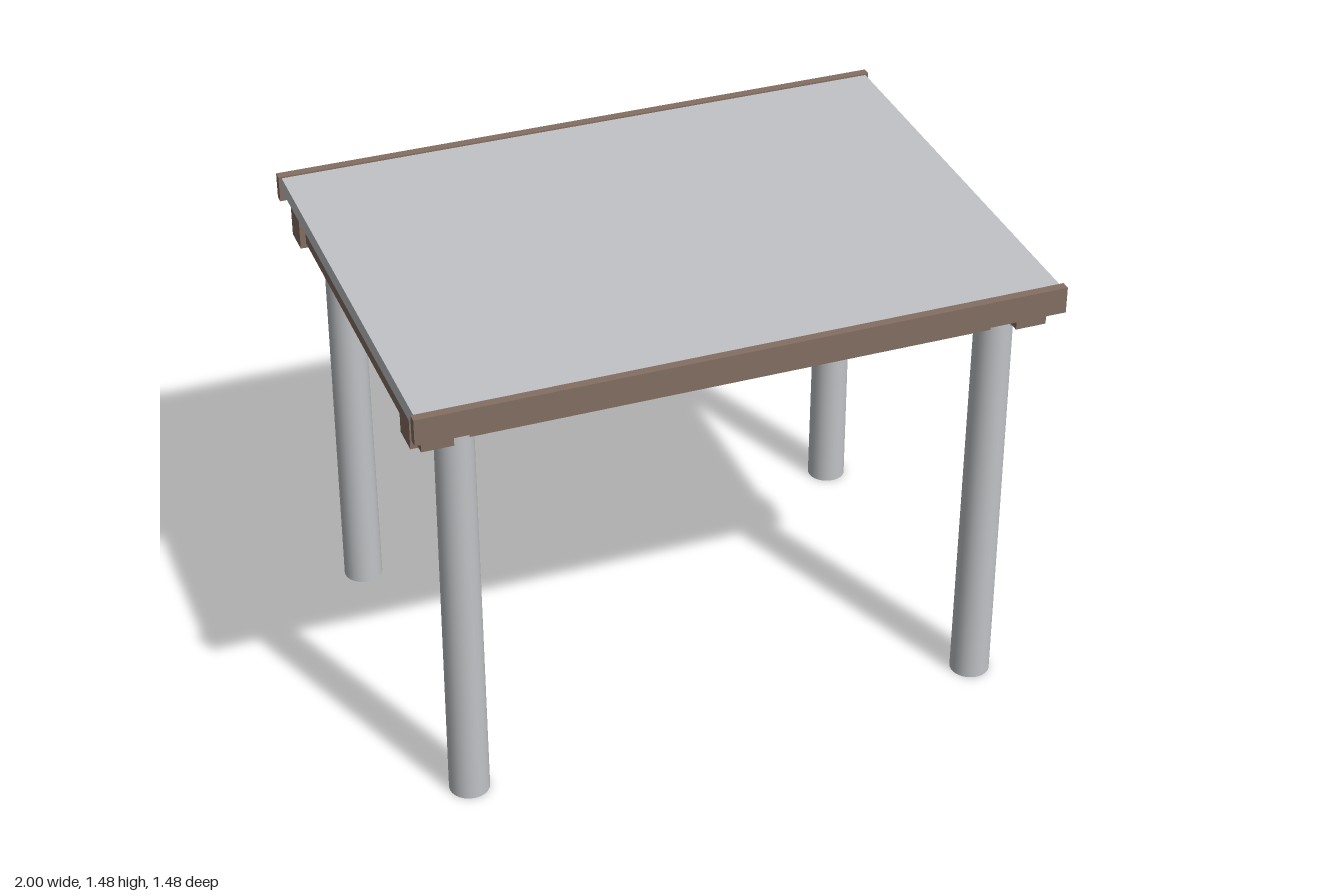
import * as THREE from 'three';

export function createModel() {
  const model = new THREE.Group();
  model.name = 'table';

  const wood = new THREE.MeshStandardMaterial({ color: 0x846f62 });
  wood.name = 'brown wood';
  const grey = new THREE.MeshStandardMaterial({ color: 0xc1c3c6 });
  grey.name = 'light grey';

  // Box given by its lower and upper corners
  function box(name, material, [x0, y0, z0], [x1, y1, z1]) {
    const mesh = new THREE.Mesh(new THREE.BoxGeometry(x1 - x0, y1 - y0, z1 - z0), material);
    mesh.position.set((x0 + x1) / 2, (y0 + y1) / 2, (z0 + z1) / 2);
    mesh.name = name;
    model.add(mesh);
  }

  // Flat top panel
  box('topPanel', grey, [-0.99, 1.42, -0.715], [0.99, 1.47, 0.715]);

  const legHeight = 1.42;
  const legGeometry = new THREE.CylinderGeometry(0.058, 0.063, legHeight, 24);

  for (const s of [-1, 1]) {
    const side = s > 0 ? 'Left' : 'Right';
    const end = s > 0 ? 'Front' : 'Back';
    const span = (a, b) => (s > 0 ? [a, b] : [-b, -a]);

    // Edge board along the front and back of the panel
    let [a, b] = span(0.712, 0.74);
    box('edgeBoard' + end, wood, [-1, 1.39, a], [1, 1.475, b]);

    // Long beam, running past the legs
    [a, b] = span(0.541, 0.636);
    box('longBeam' + end, wood, [-0.985, 1.31, a], [0.985, 1.42, b]);

    // Cross beam, resting slightly higher than the long beams
    [a, b] = span(0.87, 0.967);
    box('crossBeam' + side, wood, [a, 1.325, -0.683], [b, 1.42, 0.683]);

    // Tapered round legs
    for (const t of [-1, 1]) {
      const leg = new THREE.Mesh(legGeometry, grey);
      leg.name = 'leg' + (t > 0 ? 'Front' : 'Back') + side;
      leg.position.set(s * 0.843, legHeight / 2, t * 0.588);
      model.add(leg);
    }
  }

  return model;
}
